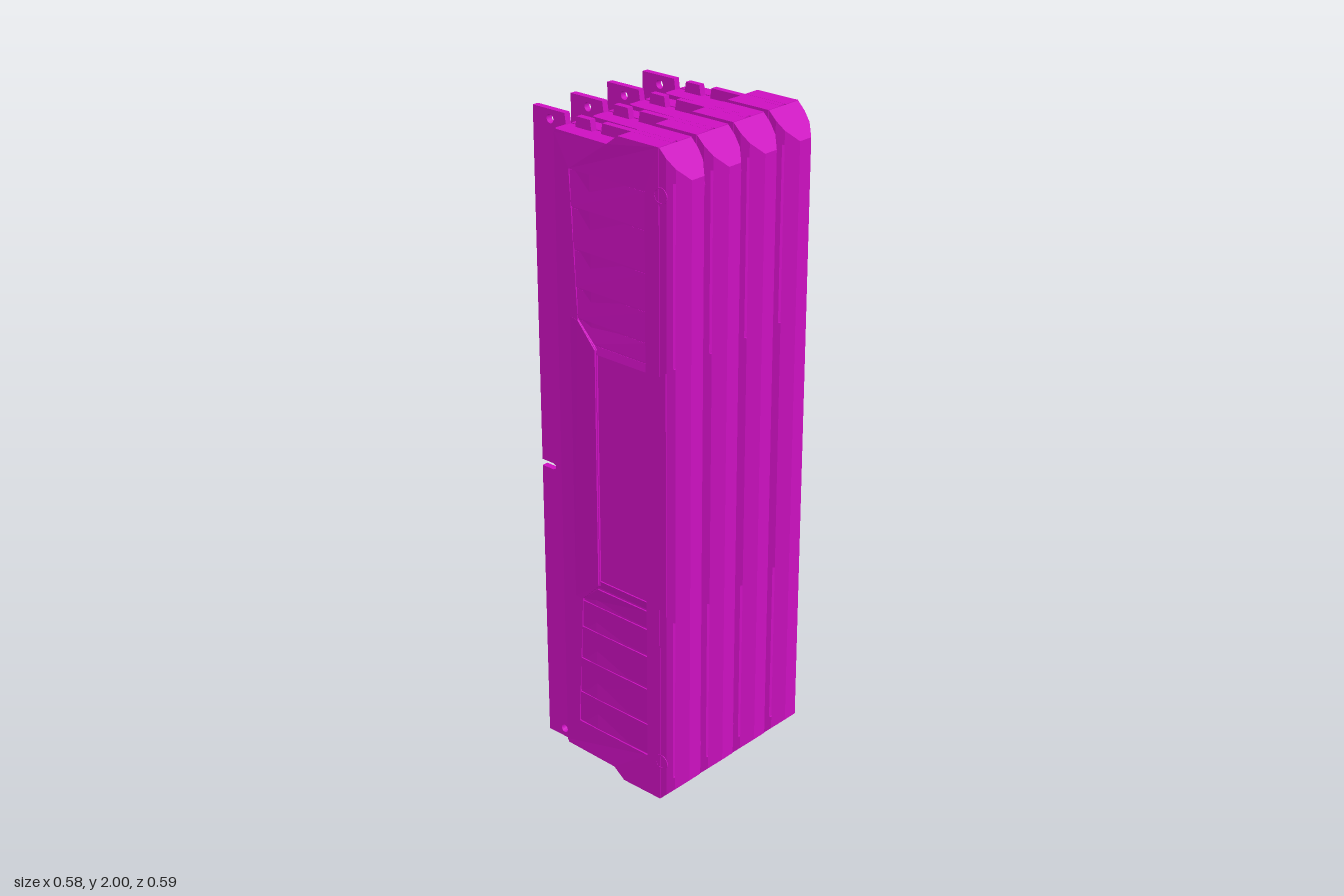
import * as THREE from 'three';

const mat = new THREE.MeshStandardMaterial({ color: 0xcc10c0, flatShading: true, side: THREE.DoubleSide });

function add(parent, name, geo) {
  const m = new THREE.Mesh(geo, mat);
  m.name = name;
  parent.add(m);
  return m;
}

const path = (pts, C = THREE.Shape) => new C(pts.map(p => new THREE.Vector2(p[0], p[1])));

// Side outline (z, y) extruded along x between -outer and -inner; shift() moves the outer face
function sidePlate(shape, inner, outer, shift = () => 0) {
  const g = new THREE.ExtrudeGeometry(shape, { depth: outer - inner, bevelEnabled: false, curveSegments: 10 });
  g.rotateY(-Math.PI / 2).translate(-inner, 0, 0);
  const p = g.attributes.position;
  for (let i = 0; i < p.count; i++) {
    if (p.getX(i) < -(inner + outer) / 2) p.setX(i, p.getX(i) - shift(p.getZ(i), p.getY(i)));
  }
  g.computeVertexNormals();
  return g;
}

// Block on the -x side from z0 to z1, with width, top and bottom given at each end
function block(z0, z1, inner, w, top, bottom) {
  const g = new THREE.BoxGeometry(1, 1, 1);
  const p = g.attributes.position;
  for (let i = 0; i < p.count; i++) {
    const k = p.getZ(i) > 0 ? 1 : 0;
    p.setXYZ(i, p.getX(i) > 0 ? -inner : -w[k], p.getY(i) > 0 ? top[k] : bottom[k], k ? z1 : z0);
  }
  g.computeVertexNormals();
  return g;
}

const flipY = pts => pts.map(([z, y]) => [z, 2 - y]);
const withMirror = pts => [...pts, ...flipY(pts).reverse()];
const rearTaper = z => -0.05 * Math.max(0, -0.04 - z);

// Circuit board with edge notches, key slot and mounting holes
function circuitBoard() {
  const s = path([
    ...withMirror([
      [0.21, 2], [-0.035, 2], [-0.04, 1.968], [-0.075, 1.968], [-0.08, 2],
      [-0.13, 2], [-0.135, 1.968], [-0.17, 1.968], [-0.175, 2], [-0.295, 2],
    ]).slice(0, 10),
    [-0.295, 0.93], [-0.25, 0.93], [-0.241, 0.925], [-0.241, 0.915], [-0.25, 0.91], [-0.295, 0.91],
    ...flipY([
      [0.21, 2], [-0.035, 2], [-0.04, 1.968], [-0.075, 1.968], [-0.08, 2],
      [-0.13, 2], [-0.135, 1.968], [-0.17, 1.968], [-0.175, 2], [-0.295, 2],
    ]).reverse(),
  ]);
  for (const y of [0.027, 1.973]) s.holes.push(new THREE.Path().absarc(-0.23, y, 0.013, 0, Math.PI * 2));
  return sidePlate(s, -0.01, 0.01);
}

// One half of the heat spreader and front bar (the -x side)
function createHalf() {
  const half = new THREE.Group();

  // Core of the spreader, lower at the rear
  const core = [[-0.17, 0.052, 1.97], [-0.04, 0.058, 1.97], [0.03, 0.058, 1.97], [0.07, 0.058, 2], [0.215, 0.058, 2]];
  for (let i = 0; i < core.length - 1; i++) {
    const [z0, w0, t0] = core[i], [z1, w1, t1] = core[i + 1];
    add(half, 'spreaderCore', block(z0, z1, 0.0105, [w0, w1], [t0, t1], [2 - t0, 2 - t1]));
  }

  // Cover plate framing the recessed panel
  const cover = path(withMirror([[0.215, 2], [0.07, 2], [0.03, 1.97], [-0.165, 1.97], [-0.17, 1.96]]));
  cover.holes.push(path(withMirror([[0.165, 1.87], [-0.115, 1.87], [-0.09, 1.44], [-0.018, 1.37]]), THREE.Path));
  add(half, 'coverPlate', sidePlate(cover, 0.05, 0.0635, rearTaper));

  // Ramp rising towards the narrow middle of the panel
  const ramp = path(withMirror([[-0.12, 1.44], [-0.09, 1.44], [-0.02, 1.37]]));
  add(half, 'sideRamp', sidePlate(ramp, 0.055, 0.0635,
    z => rearTaper(z) + 0.005 * (z + 0.12) / 0.1));

  // Louvres, each sloping out towards the middle
  const rows = [[1.867, -0.115], [1.76, -0.109], [1.64, -0.102], [1.53, -0.095], [1.44, -0.09], [1.38, -0.028], [1.35, -0.018]];
  for (let i = 0; i < rows.length - 1; i++) {
    const [yt, zt] = rows[i], [yb, zb] = rows[i + 1];
    const pts = [[0.165, yt], [zt, yt], [zb, yb + 0.006], [0.165, yb + 0.006]];
    const out = (z, y) => rearTaper(z) + (Math.abs(y - 1) > (yt + yb) / 2 - 1 ? -0.003 : 0.0005);
    add(half, 'louvre', sidePlate(path(pts), 0.05, 0.062, out));
    add(half, 'louvre', sidePlate(path(flipY(pts)), 0.05, 0.062, out));
  }

  // Raised shield at mid height
  add(half, 'middleShield', sidePlate(path(withMirror([[0.24, 1.375], [0.145, 1.31]])), 0.055, 0.0648));

  // Faceted front bar with its ends sloped back
  const end = z => 2 - (z - 0.215);
  const bar = [[0.216, 0.0625], [0.24, 0.062], [0.258, 0.0555], [0.265, 0.053], [0.295, 0.024]];
  for (let i = 0; i < bar.length - 1; i++) {
    const [z0, w0] = bar[i], [z1, w1] = bar[i + 1];
    const t = [end(z0), end(z1)], b = t.map(y => 2 - y);
    // The third slice holds the long see-through slits
    const spans = i === 2 ? [[t, [1.91, 1.91]], [[1.39, 1.39], [0.61, 0.61]], [[0.09, 0.09], b]] : [[t, b]];
    for (const [hi, lo] of spans) add(half, 'frontBar', block(z0, z1, 0, [w0, w1], hi, lo));
  }

  // Corner screws with a sunken centre
  for (const y of [0.13, 1.87]) {
    const ring = new THREE.Shape().absarc(0.22, y, 0.024, 0, Math.PI * 2);
    ring.holes.push(new THREE.Path().absarc(0.22, y, 0.019, 0, Math.PI * 2));
    add(half, 'screwRing', sidePlate(ring, 0.057, 0.0642));
  }
  return half;
}

export function createModel() {
  const model = new THREE.Group();
  model.name = 'memoryModules';
  for (let i = 0; i < 4; i++) {
    const stick = new THREE.Group();
    stick.name = 'memoryModule';
    stick.position.x = (i - 1.5) * 0.147;
    add(stick, 'circuitBoard', circuitBoard());
    const right = createHalf();
    right.name = 'rightHalf';
    // The half is symmetric in height, so a half turn makes its mirror image
    const left = createHalf();
    left.name = 'leftHalf';
    left.rotation.z = Math.PI;
    left.position.y = 2;
    stick.add(right, left);
    model.add(stick);
  }
  return model;
}
